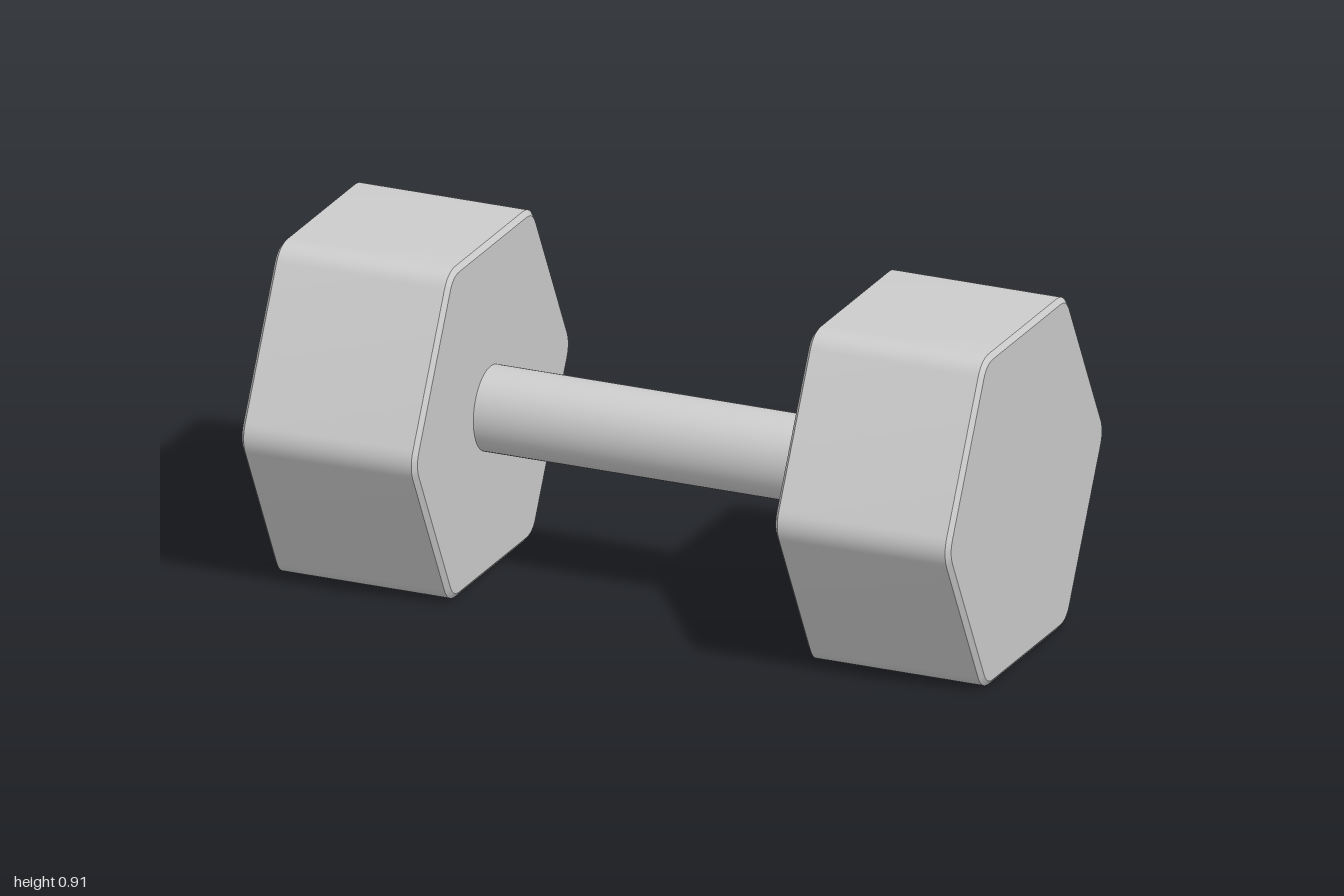
import * as THREE from 'three';
import { toCreasedNormals } from 'three/addons/utils/BufferGeometryUtils.js';

const CENTRE_Y = 0.456;

// Six-sided outline with softly rounded corners
function hexShape(round) {
  const corners = [[0.498, 0], [0.258, 0.456], [-0.258, 0.456], [-0.498, 0], [-0.258, -0.456], [0.258, -0.456]]
    .map(([x, y]) => new THREE.Vector2(x, y));
  const towards = (a, b) => a.clone().add(b.clone().sub(a).setLength(round));
  const shape = new THREE.Shape();
  corners.forEach((c, i) => {
    const start = towards(c, corners[(i + 5) % 6]);
    const end = towards(c, corners[(i + 1) % 6]);
    if (i === 0) shape.moveTo(start.x, start.y);
    else shape.lineTo(start.x, start.y);
    shape.quadraticCurveTo(c.x, c.y, end.x, end.y);
  });
  shape.closePath();
  return shape;
}

export function createModel() {
  const group = new THREE.Group();
  group.name = 'dumbbell';
  const material = new THREE.MeshStandardMaterial({ color: 0xcccccc });

  // Hexagonal weights with a narrow chamfer on both faces
  const length = 0.495, chamfer = 0.011;
  const extruded = new THREE.ExtrudeGeometry(hexShape(0.047), {
    depth: length - 2 * chamfer,
    bevelEnabled: true,
    bevelThickness: chamfer,
    bevelSize: 0.014,
    bevelOffset: -0.014,
    bevelSegments: 1,
    curveSegments: 8,
  });
  extruded.center();
  extruded.rotateY(Math.PI / 2);
  const weightGeometry = toCreasedNormals(extruded, 0.4);
  for (const [name, side] of [['leftWeight', 1], ['rightWeight', -1]]) {
    const weight = new THREE.Mesh(weightGeometry, material);
    weight.name = name;
    weight.position.set(side * (1 - length / 2), CENTRE_Y, 0);
    group.add(weight);
  }

  // Slightly oval handle, set a little towards the front
  const handleGeometry = new THREE.CylinderGeometry(1, 1, 1.04, 48);
  handleGeometry.rotateZ(Math.PI / 2);
  handleGeometry.scale(1, 0.115, 0.108);
  const handle = new THREE.Mesh(handleGeometry, material);
  handle.name = 'handle';
  handle.position.set(0, 0.453, 0.015);
  group.add(handle);

  return group;
}
